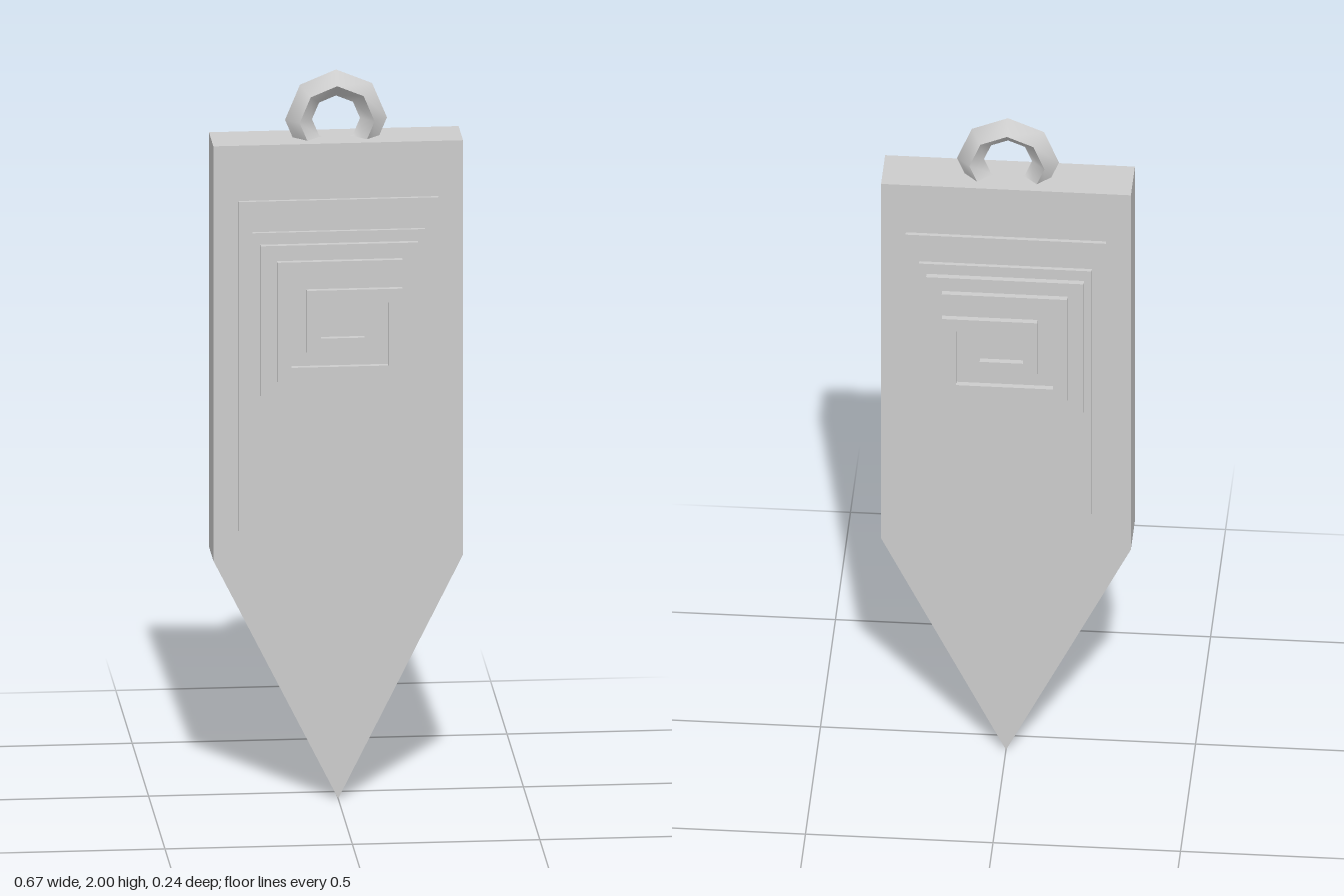
import * as THREE from 'three';
import { toCreasedNormals } from 'three/addons/utils/BufferGeometryUtils.js';

export function createModel() {
  const group = new THREE.Group();
  const metal = new THREE.MeshStandardMaterial({ color: 0xcccccc });
  metal.name = 'grey metal';

  const add = (name, geometry) => {
    const mesh = new THREE.Mesh(geometry, metal);
    mesh.name = name;
    group.add(mesh);
    return mesh;
  };

  // Outline extruded equally to front and back, so both faces carry the relief
  const slab = (name, points, halfDepth) => {
    const shape = new THREE.Shape(points.map(([x, y]) => new THREE.Vector2(x, y)));
    const geometry = new THREE.ExtrudeGeometry(shape, { depth: 2 * halfDepth, bevelEnabled: false });
    geometry.translate(0, 0, -halfDepth);
    return add(name, geometry);
  };

  // Five-sided outline with a pointed foot
  const blade = (w, top, shoulder, tip) => [[0, tip], [w, shoulder], [w, top], [-w, top], [-w, shoulder]];

  slab('body', blade(0.333, 1.815, 0.667, 0), 0.067);
  slab('lowerStep', blade(0.267, 1.662, 0.749, 0.214), 0.078);
  slab('upperStep', blade(0.23, 1.578, 0.789, 0.331), 0.089);

  // Rectangular panel behind the spiral
  slab('panel', [[-0.21, 1.128], [0.21, 1.128], [0.21, 1.546], [-0.21, 1.546]], 0.105);

  // Square spiral ridge: outer edge inward, then inner edge back out
  slab('spiral', [
    [0.167, 1.504], [-0.167, 1.504], [-0.167, 1.173], [0.167, 1.173],
    [0.167, 1.424], [-0.088, 1.424], [-0.088, 1.252], [0.066, 1.252],
    [0.066, 1.291], [-0.05, 1.291], [-0.05, 1.386], [0.129, 1.386],
    [0.129, 1.212], [-0.129, 1.212], [-0.129, 1.465], [0.167, 1.465],
  ], 0.121);

  // Eight-sided hanging ring with a diamond section
  const ring = add('ring', toCreasedNormals(new THREE.TorusGeometry(0.1, 0.036, 4, 8), 1));
  ring.position.y = 1.864;

  return group;
}
